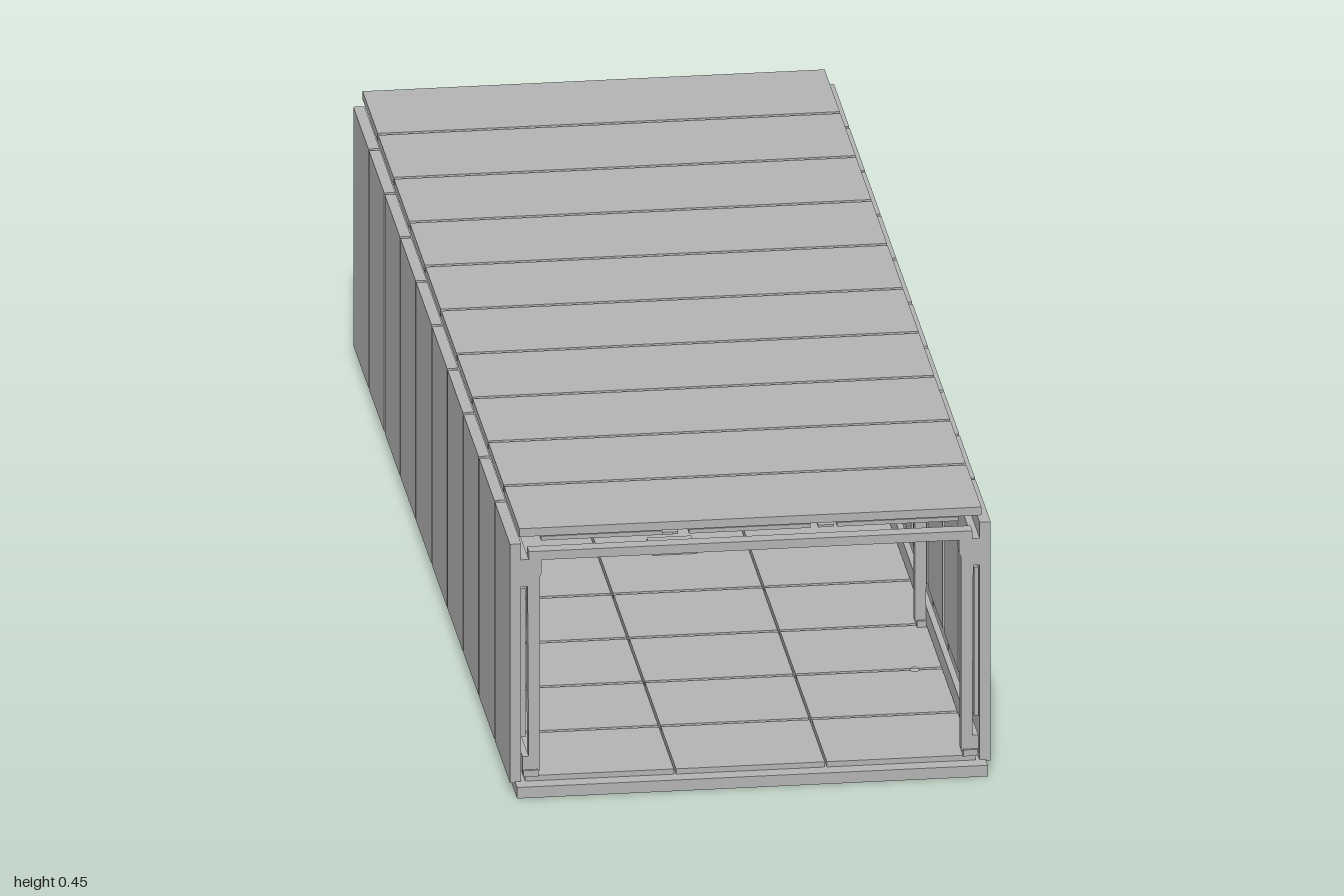
import * as THREE from 'three';

export function createModel() {
  const model = new THREE.Group();
  model.name = 'corridor';
  const grey = new THREE.MeshStandardMaterial({ color: 0xb3b3b3 });
  grey.name = 'panel grey';

  const add = (name, geo, x, y, z, parent = model) => {
    const m = new THREE.Mesh(geo, grey);
    m.name = name;
    m.position.set(x, y, z);
    parent.add(m);
    return m;
  };
  // box given by its limits
  const box = (name, x0, x1, y0, y1, z0, z1, parent = model) =>
    add(name, new THREE.BoxGeometry(x1 - x0, y1 - y0, z1 - z0),
      (x0 + x1) / 2, (y0 + y1) / 2, (z0 + z1) / 2, parent);
  // box on either side, given by its limits on the +x side
  const pair = (name, x0, x1, ...rest) => {
    box(name, x0, x1, ...rest);
    box(name, -x1, -x0, ...rest);
  };

  const bays = 10, pitch = 0.1955, back = -0.977, gap = 0.004;

  box('floorSlab', -0.38, 0.38, 0.003, 0.022, -1, 1);

  for (let i = 0; i < bays; i++) {
    const z0 = back + i * pitch + gap, z1 = back + (i + 1) * pitch - gap;
    const mid = (z0 + z1) / 2;
    // outer shell
    pair('wallPanel', 0.37, 0.388, 0.02, 0.43, z0, z1);
    box('roofPanel', -0.373, 0.373, 0.442, 0.456, z0, z1);
    // inner lining
    pair('innerWallPanel', 0.362, 0.369, 0.095, 0.35, z0 + 0.008, z1 - 0.008);
    for (const c of [-1, 0, 1]) {
      box('floorTile', c * 0.2435 - 0.12, c * 0.2435 + 0.12, 0.022, 0.031, z0, z1);
      box('ceilingPanel', c * 0.239 - 0.098, c * 0.239 + 0.098, 0.431, 0.438, z0 + 0.008, z1 - 0.008);
    }
    // ceiling light strips between the panels
    for (const s of [-1, 1]) {
      box('ceilingLight', s * 0.126 - 0.013, s * 0.126 + 0.013, 0.423, 0.427, mid - 0.065, mid + 0.065);
      box('lightLens', s * 0.126 - 0.006, s * 0.126 + 0.006, 0.419, 0.423, mid - 0.055, mid + 0.055);
    }
  }

  // rails along the walls
  pair('upperRail', 0.358, 0.371, 0.357, 0.403, -0.975, 0.975);
  pair('lowerRail', 0.358, 0.368, 0.034, 0.065, -0.975, 0.975);

  // portal frames at every third joint
  for (const i of [1, 4, 7, 10]) {
    const z = Math.min(back + i * pitch, 0.965);
    const frame = new THREE.Group();
    frame.name = 'portalFrame';
    frame.position.z = z;
    model.add(frame);
    box('beam', -0.358, 0.358, 0.402, 0.417, -0.012, 0.012, frame);
    for (const s of [-1, 1]) {
      const post = new THREE.Shape([
        [0.34, 0.04], [0.358, 0.04], [0.36, 0.403], [0.337, 0.403], [0.337, 0.378], [0.34, 0.372],
      ].map(([x, y]) => new THREE.Vector2(s * x, y)));
      add('post', new THREE.ExtrudeGeometry(post, { depth: 0.02, bevelEnabled: false }), 0, 0, -0.01, frame);
      box('postFoot', s * 0.355 - 0.012, s * 0.355 + 0.012, 0.031, 0.042, -0.014, 0.014, frame);
    }
  }

  // low floor lamps and a flush hatch
  for (const z of [-0.59, 0, 0.59]) for (const s of [-1, 1]) {
    add('floorLamp', new THREE.CylinderGeometry(0.005, 0.008, 0.004, 12), s * 0.315, 0.033, z);
  }
  box('floorHatch', -0.036, 0.036, 0.031, 0.034, -0.036, 0.036);

  // control boxes on the right wall
  for (const z of [0.2, -0.585]) {
    box('controlBox', -0.34, -0.305, 0.048, 0.168, z - 0.04, z + 0.04);
    box('controlBoxDoor', -0.305, -0.302, 0.053, 0.163, z - 0.035, z + 0.035);
    box('controlBoxMount', -0.369, -0.34, 0.07, 0.15, z - 0.02, z + 0.02);
    for (let k = 0; k < 5; k++) {
      box('button', -0.302, -0.299, 0.105 + k * 0.011, 0.109 + k * 0.011, z - 0.012, z + 0.012);
    }
  }

  // wall camera on a short arm
  const eye = new THREE.Group();
  eye.name = 'wallCamera';
  eye.position.set(0, 0.359, back + 7 * pitch);
  model.add(eye);
  box('cameraArm', 0.31, 0.34, -0.006, 0.006, -0.006, 0.006, eye);
  const body = add('cameraBody', new THREE.CylinderGeometry(0.016, 0.016, 0.045, 8), 0.294, 0, 0, eye);
  body.rotation.set(0, 0.5, Math.PI / 2);
  add('cameraLens', new THREE.CylinderGeometry(0.009, 0.009, 0.006, 12), 0.272, 0, 0.002, eye).rotation.z = Math.PI / 2;

  return model;
}
